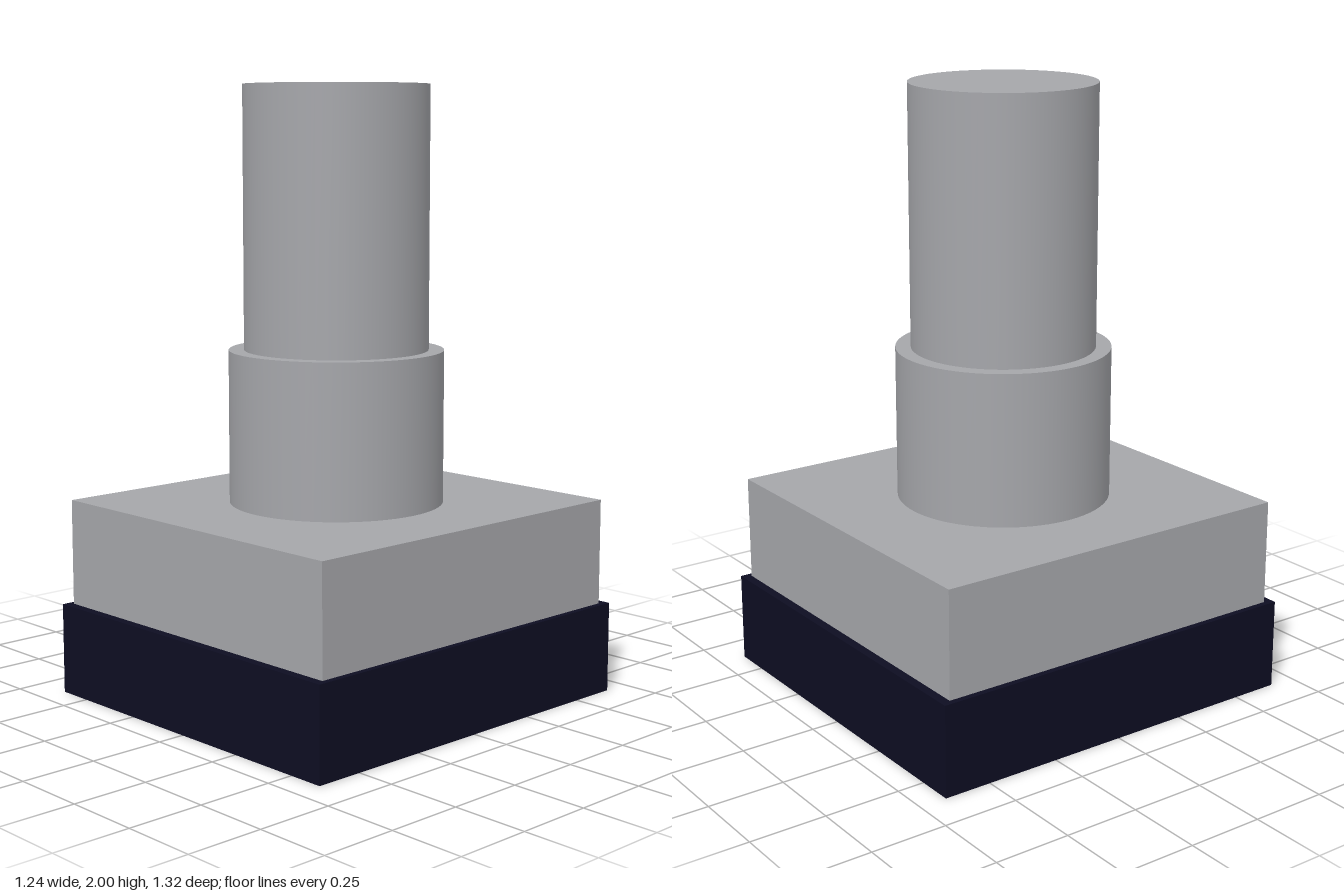
import * as THREE from 'three';

export function createModel() {
  const group = new THREE.Group();

  const metal = new THREE.MeshStandardMaterial({ color: 0xa5a6aa });
  metal.name = 'grey metal';
  const navy = new THREE.MeshStandardMaterial({ color: 0x0d0d22 });
  navy.name = 'dark navy plastic';

  // Each part stands on the one below it
  let y = 0;
  const stack = (name, geometry, height, material) => {
    const mesh = new THREE.Mesh(geometry, material);
    mesh.name = name;
    mesh.position.y = y + height / 2;
    y += height;
    group.add(mesh);
  };
  const box = (w, h, d) => new THREE.BoxGeometry(w, h, d);
  const round = (r, h) => new THREE.CylinderGeometry(r, r, h, 64);

  // Square body
  stack('base', box(1.24, 0.3, 1.32), 0.3, navy);
  stack('housing', box(1.2, 0.35, 1.26), 0.35, metal);

  // Round collar and shaft
  stack('collar', round(0.35, 0.5), 0.5, metal);
  stack('shaft', round(0.3, 0.85), 0.85, metal);

  return group;
}
